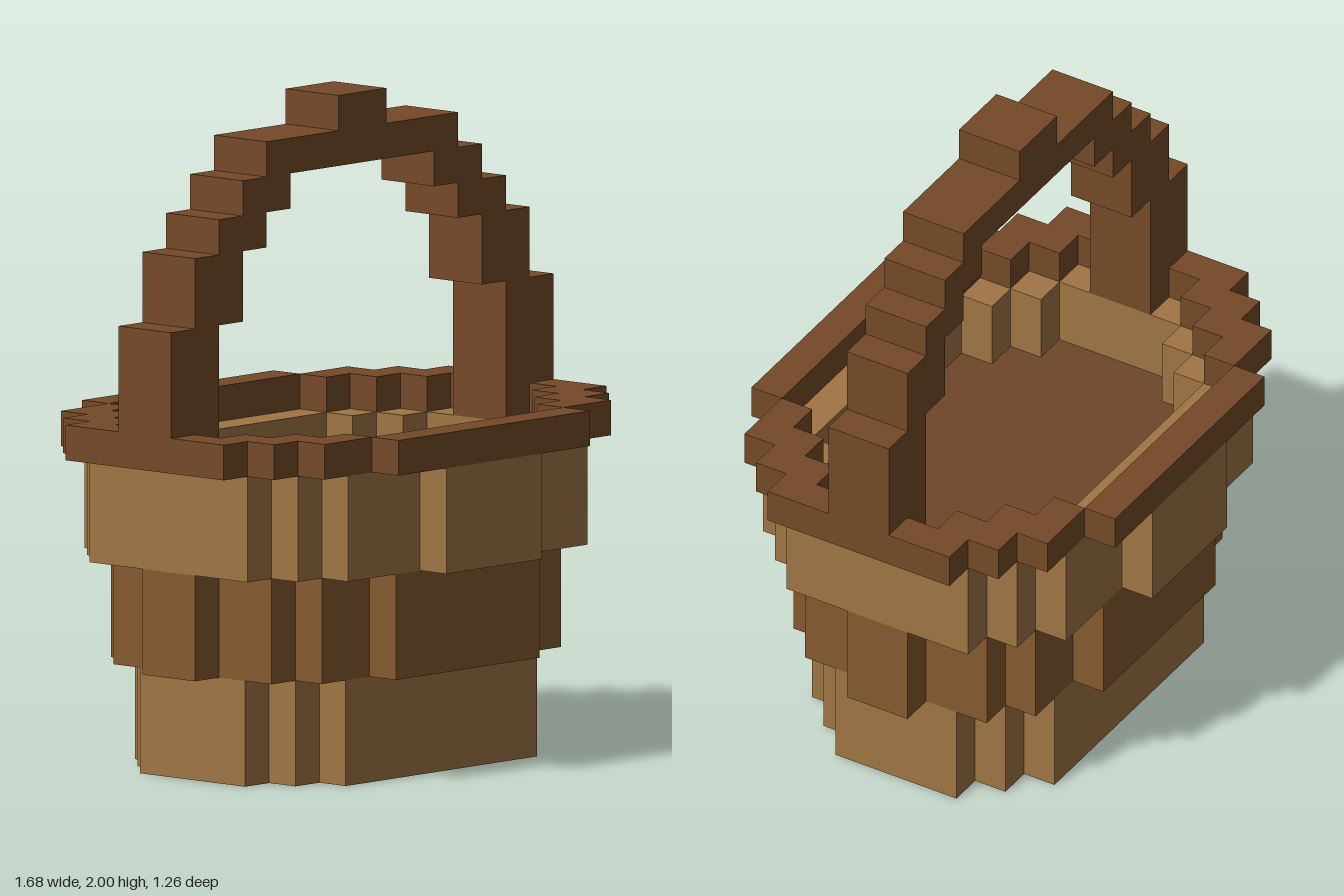
import * as THREE from 'three';

const U = 2 / 19; // one block

// Closed counter-clockwise stepped outline, symmetric about both axes.
// steps: [halfX, halfZ] pairs, halfX growing while halfZ shrinks.
function steppedOutline(steps) {
  const quarter = [];
  steps.forEach(([x, z], i) => {
    quarter.push([x, z]);
    if (i + 1 < steps.length) quarter.push([x, steps[i + 1][1]]);
  });
  const mirror = (sx, sz) => quarter.map(([x, z]) => new THREE.Vector2(x * sx * U, z * sz * U));
  return [
    ...mirror(1, 1).reverse(),
    ...mirror(-1, 1),
    ...mirror(-1, -1).reverse(),
    ...mirror(1, -1),
  ];
}

// Horizontal layer with an optional stepped opening
function layer(name, color, y0, y1, outer, inner) {
  const shape = new THREE.Shape(steppedOutline(outer));
  if (inner) shape.holes.push(new THREE.Path(steppedOutline(inner)));
  const geo = new THREE.ExtrudeGeometry(shape, { depth: (y1 - y0) * U, bevelEnabled: false });
  geo.rotateX(-Math.PI / 2).translate(0, y0 * U, 0);
  return part(name, color, geo);
}

function part(name, color, geo) {
  const mesh = new THREE.Mesh(geo, new THREE.MeshStandardMaterial({ color, flatShading: true }));
  mesh.name = name;
  return mesh;
}

export function createModel() {
  const basket = new THREE.Group();
  basket.name = 'basket';
  const light = 0xa07544, medium = 0x865a2f, dark = 0x754a28, floor = 0x704628;
  const cavity = [[4, 4], [5, 3], [6, 2]];

  // Body tiers, widening upwards
  basket.add(
    layer('lowerTier', light, 0, 3, [[4, 4], [5, 3], [6, 2]]),
    layer('middleTier', medium, 3, 6, [[3, 5], [5, 4], [6, 3], [7, 1]]),
    layer('upperTier', light, 6, 9, [[2, 6], [5, 5], [6, 4], [7, 3]], cavity),
    layer('innerFloor', floor, 6, 7, cavity),
    layer('rim', dark, 9, 10, [[4, 6], [6, 5], [7, 4], [8, 3]], [[4, 5], [5, 4], [6, 3], [7, 2]]),
  );

  // Stepped arch handle: half silhouette from outer top to inner top, then mirrored
  const half = [
    [1, 19], [1, 18], [4, 18], [4, 17], [5, 17], [5, 16], [6, 16], [6, 15], [7, 15], [7, 13], [8, 13], [8, 10],
    [7, 10], [7, 9], [6, 9], [6, 13], [5, 13], [5, 15], [4, 15], [4, 16], [3, 16], [3, 17],
  ];
  const arch = [...half, ...half.map(([x, y]) => [-x, y]).reverse()];
  const shape = new THREE.Shape(arch.map(([x, y]) => new THREE.Vector2(x * U, y * U)));
  const geo = new THREE.ExtrudeGeometry(shape, { depth: 2 * U, bevelEnabled: false });
  geo.translate(0, 0, -U);
  basket.add(part('handle', dark, geo));

  return basket;
}
